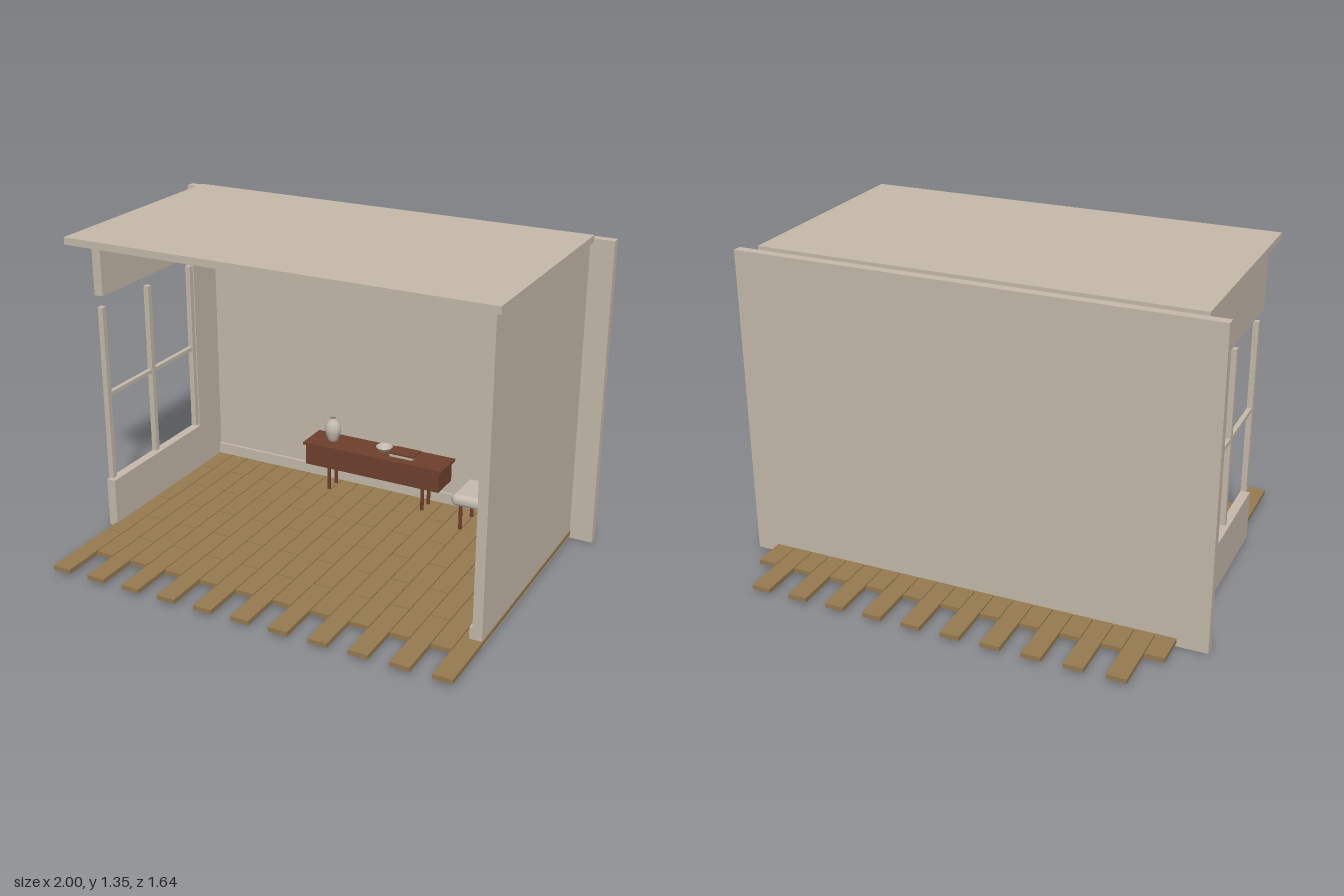
import * as THREE from 'three';
import { RoundedBoxGeometry } from 'three/addons/geometries/RoundedBoxGeometry.js';

const mat = (name, color, side = THREE.FrontSide) => {
  const m = new THREE.MeshStandardMaterial({ color, side });
  m.name = name;
  return m;
};

export function createModel() {
  const plaster = mat('plaster', 0xc4b9aa);
  const oak = mat('oak', 0x967a50);
  const walnut = mat('walnut', 0x6e3f2c);
  const ceramic = mat('ceramic', 0xc2baac, THREE.DoubleSide);
  const cushion = mat('cushion', 0xc4bbad);

  const room = new THREE.Group();
  room.name = 'room';

  const group = (name) => {
    const g = new THREE.Group();
    g.name = name;
    room.add(g);
    return g;
  };
  const add = (parent, name, geometry, material, x = 0, y = 0, z = 0) => {
    const m = new THREE.Mesh(geometry, material);
    m.name = name;
    m.position.set(x, y, z);
    parent.add(m);
    return m;
  };
  // Box given by its limits on each axis
  const box = (parent, name, material, [x0, x1], [y0, y1], [z0, z1]) =>
    add(parent, name, new THREE.BoxGeometry(x1 - x0, y1 - y0, z1 - z0), material,
      (x0 + x1) / 2, (y0 + y1) / 2, (z0 + z1) / 2);

  // Shell
  const shell = group('shell');
  box(shell, 'backWall', plaster, [-1, 1], [0, 1.335], [-0.5, -0.46]);
  box(shell, 'ceiling', plaster, [-0.92, 0.915], [1.32, 1.35], [-0.46, 0.54]);
  box(shell, 'solidSideWall', plaster, [0.86, 0.9], [0.005, 1.32], [-0.46, 0.54]);
  box(shell, 'backBaseboard', plaster, [-0.865, 0.86], [0.035, 0.085], [-0.46, -0.447]);
  box(shell, 'sideBaseboard', plaster, [0.848, 0.86], [0.035, 0.085], [-0.447, 0.54]);

  // Side wall around the window opening
  const side = [-0.905, -0.865];
  box(shell, 'windowPier', plaster, side, [0.02, 1.32], [-0.46, -0.28]);
  box(shell, 'windowParapet', plaster, side, [0.02, 0.238], [-0.28, 0.39]);
  box(shell, 'windowHeader', plaster, side, [1.07, 1.32], [-0.28, 0.39]);

  // Window posts and crossbar
  const frame = group('windowFrame');
  for (const z of [-0.268, 0.055, 0.378])
    box(frame, 'windowPost', plaster, [-0.894, -0.87], [0.25, 1.02], [z - 0.012, z + 0.012]);
  box(frame, 'windowCrossbar', plaster, [-0.892, -0.872], [0.622, 0.64], [-0.256, 0.366]);

  // Staggered floor planks, four to a column
  const floor = group('floor');
  const pitch = 0.0848, length = 0.3664, gap = 0.004;
  const plank = new THREE.BoxGeometry(pitch - gap, 0.02, length - gap);
  for (let c = 0; c < 21; c++) {
    const start = c % 2 ? -0.826 : -0.645;
    for (let r = 0; r < 4; r++)
      add(floor, 'plank', plank, oak, -0.876 + (c + 0.5) * pitch, 0.025, start + (r + 0.5) * length);
  }

  // Console table
  const table = group('consoleTable');
  box(table, 'tableTop', walnut, [-0.316, 0.364], [0.254, 0.265], [-0.445, -0.29]);
  box(table, 'drawerCase', walnut, [-0.306, 0.35], [0.158, 0.254], [-0.44, -0.298]);
  for (const x of [-0.21, 0.256])
    for (const z of [-0.41, -0.34])
      add(table, 'tableLeg', new THREE.CylinderGeometry(0.008, 0.008, 0.125, 12), walnut, x, 0.0965, z);

  // Vase, bowl and book on the table
  const decor = group('tableDecor');
  const lathe = (pts) => new THREE.LatheGeometry(
    new THREE.SplineCurve(pts.map((p) => new THREE.Vector2(...p))).getPoints(20), 28);
  add(decor, 'vase', lathe([[0.001, 0], [0.02, 0.002], [0.033, 0.035], [0.037, 0.06],
    [0.031, 0.085], [0.017, 0.103], [0.013, 0.112]]), ceramic, -0.205, 0.265, -0.37);
  add(decor, 'bowl', lathe([[0.001, 0], [0.014, 0.001], [0.027, 0.012], [0.038, 0.024]]),
    ceramic, 0.053, 0.265, -0.37);
  box(decor, 'bookPages', ceramic, [0.095, 0.205], [0.265, 0.278], [-0.405, -0.335]);
  box(decor, 'bookCover', walnut, [0.1, 0.215], [0.278, 0.286], [-0.408, -0.332]);

  // Cushioned stool
  const stool = group('stool');
  add(stool, 'seatCushion', new RoundedBoxGeometry(0.29, 0.055, 0.2, 5, 0.025), cushion, 0.583, 0.178, -0.32);
  for (const x of [0.475, 0.688])
    for (const z of [-0.385, -0.255])
      add(stool, 'stoolLeg', new THREE.CylinderGeometry(0.008, 0.008, 0.118, 12), walnut, x, 0.094, z);

  return room;
}
